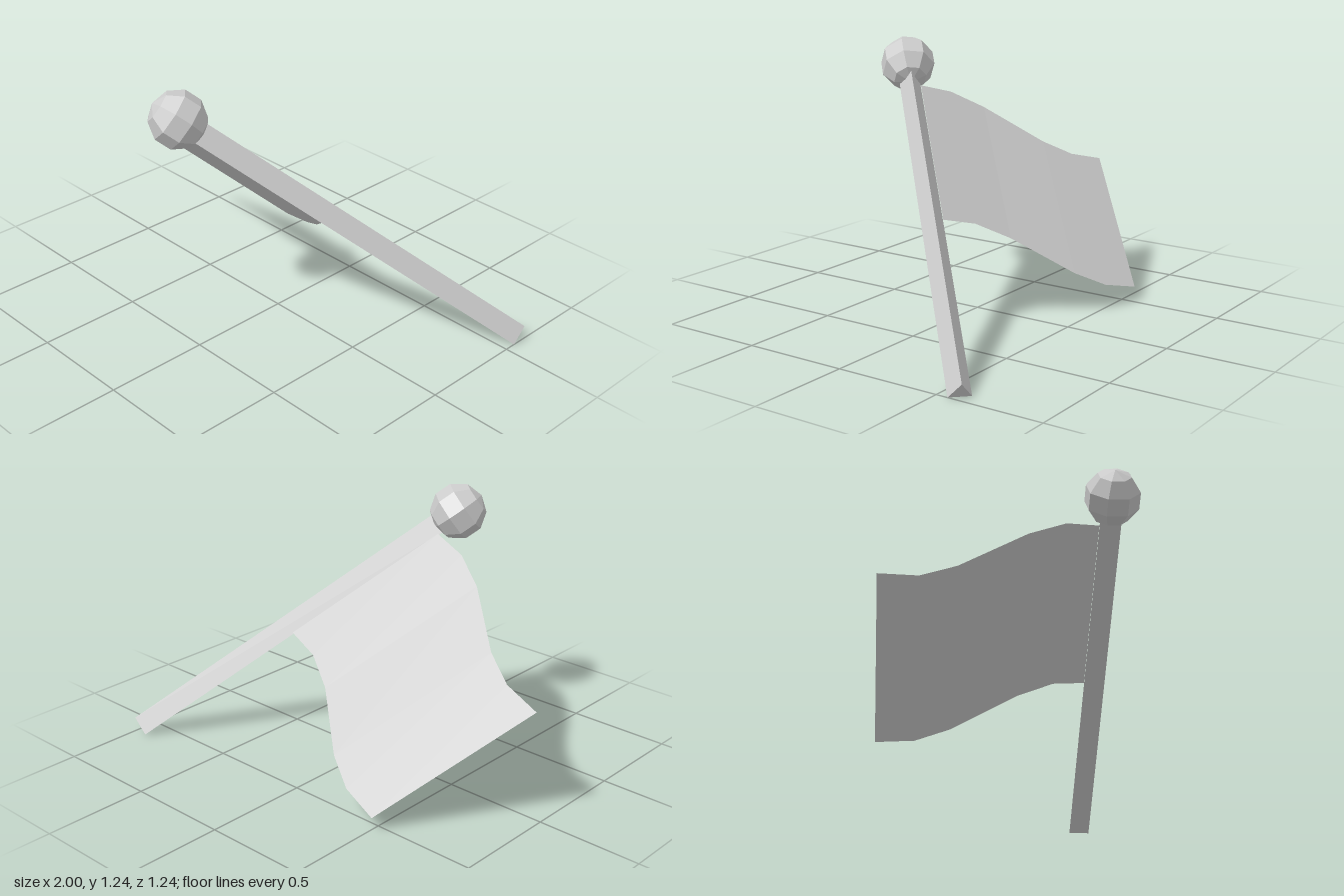
import * as THREE from 'three';

export function createModel() {
  const model = new THREE.Group();
  model.name = 'flag';
  const grey = new THREE.MeshStandardMaterial({ color: 0xcccccc, flatShading: true, side: THREE.DoubleSide });
  grey.name = 'light grey';

  // Tilted frame: y runs up the staff, z points at the staff edge that holds the cloth
  const up = new THREE.Vector3(-1, 1, 1).normalize();
  const edge = new THREE.Vector3(-2, -1, -1).normalize();
  const side = new THREE.Vector3().crossVectors(up, edge);
  const staff = new THREE.Group();
  staff.name = 'staff';
  staff.quaternion.setFromRotationMatrix(new THREE.Matrix4().makeBasis(side, up, edge));
  staff.position.set(0.977, 0.023, -0.602);
  model.add(staff);

  // Three-sided pole
  const length = 1.84;
  const pole = new THREE.Mesh(new THREE.CylinderGeometry(0.057, 0.057, length, 3), grey);
  pole.name = 'pole';
  pole.position.y = length / 2;
  staff.add(pole);

  // Faceted ball on the tip
  const ball = new THREE.Mesh(new THREE.SphereGeometry(0.133, 8, 5), grey);
  ball.name = 'ball';
  ball.position.y = 1.885;
  staff.add(ball);

  // Waving cloth: the lower edge swept along the staff
  const lower = [
    [0.41, 0.53, -0.105], [0.23, 0.48, -0.15], [0.07, 0.39, -0.235],
    [-0.17, 0.2, -0.43], [-0.32, 0.12, -0.51], [-0.515, 0.07, -0.56],
  ];
  const sweep = 0.487;
  const points = [];
  const faces = [];
  lower.forEach(([x, y, z], i) => {
    points.push(x, y, z, x - sweep, y + sweep, z + sweep);
    if (i < lower.length - 1) {
      const a = i * 2;
      faces.push(a, a + 2, a + 1, a + 1, a + 2, a + 3);
    }
  });
  const sheet = new THREE.BufferGeometry();
  sheet.setAttribute('position', new THREE.Float32BufferAttribute(points, 3));
  sheet.setIndex(faces);
  sheet.computeVertexNormals();
  const cloth = new THREE.Mesh(sheet, grey);
  cloth.name = 'cloth';
  model.add(cloth);

  return model;
}
